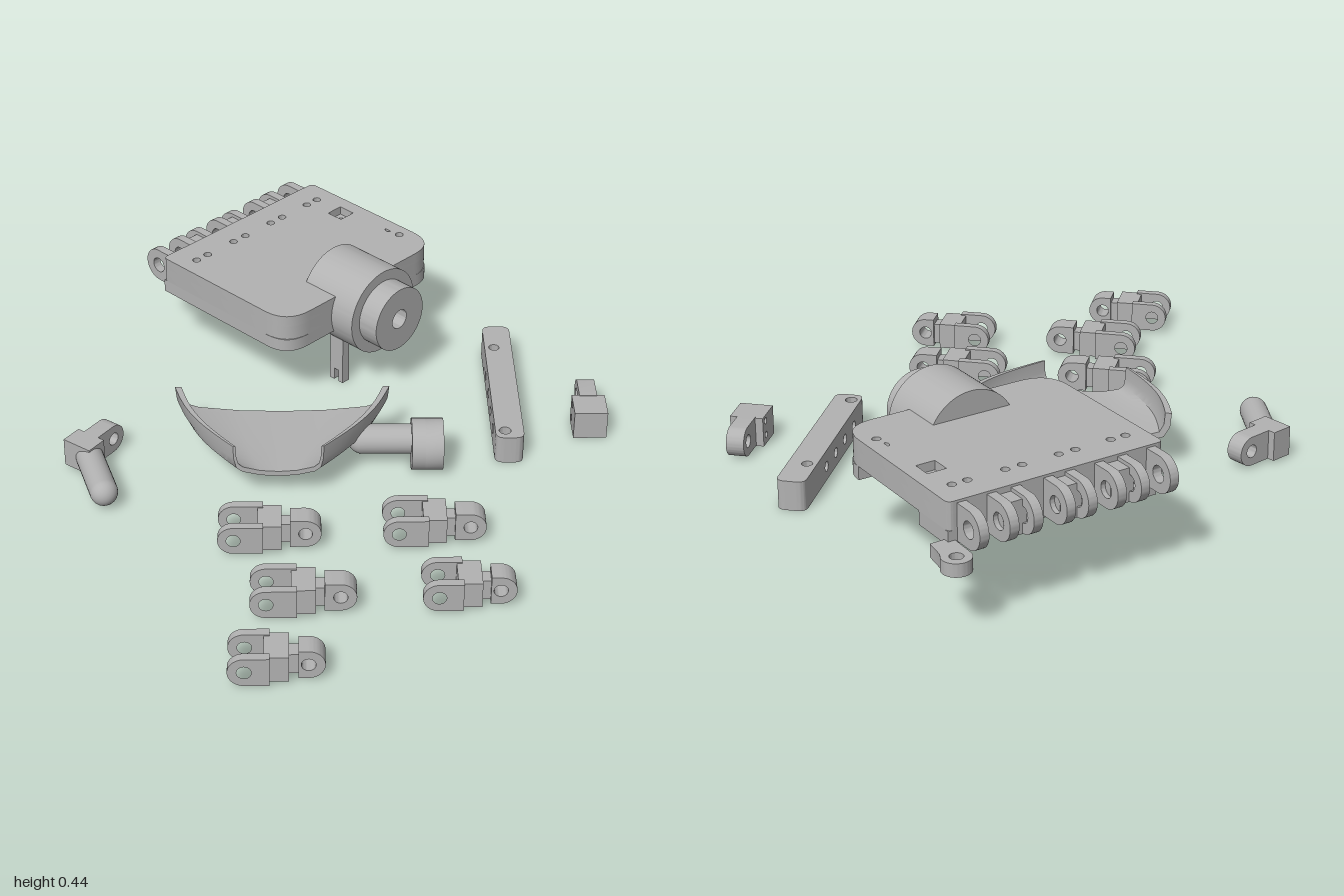
import * as THREE from 'three';
import { toCreasedNormals } from 'three/addons/utils/BufferGeometryUtils.js';

const grey = new THREE.MeshStandardMaterial({ color: 0xb2b2b2 });
grey.name = 'printed grey';
const Q = Math.PI / 4;

function add(parent, name, geo, x = 0, y = 0, z = 0) {
  const m = new THREE.Mesh(geo, grey);
  m.name = name;
  m.position.set(x, y, z);
  parent.add(m);
  return m;
}
function sub(parent, name, x, z, turn) {
  const g = new THREE.Group();
  g.name = name;
  g.position.set(x, 0, z);
  g.rotation.y = turn;
  parent.add(g);
  return g;
}
const box = (w, h, d) => new THREE.BoxGeometry(w, h, d);
const extrude = (shape, depth) => toCreasedNormals(
  new THREE.ExtrudeGeometry(shape, { depth, bevelEnabled: false, curveSegments: 14 }), 0.6);
// shape in side view, centred through its thickness
const side = (shape, depth) => extrude(shape, depth).translate(0, 0, -depth / 2);
// shape in plan (second coordinate is -z), from y0 to y1
const plan = (shape, y0, y1) => extrude(shape, y1 - y0).rotateX(-Math.PI / 2).translate(0, y0, 0);

function poly(pts) {
  return new THREE.Shape(pts.map(p => new THREE.Vector2(p[0], p[1])));
}
function hole(shape, x, y, r) {
  shape.holes.push(new THREE.Path().absarc(x, y, r, 0, Math.PI * 2, true));
  return shape;
}
// rectangle with one radius per corner: bottom left, bottom right, top right, top left
function rounded(x0, y0, x1, y1, [a, b, c, d]) {
  const s = new THREE.Shape();
  s.moveTo(x0 + a, y0).lineTo(x1 - b, y0).quadraticCurveTo(x1, y0, x1, y0 + b);
  s.lineTo(x1, y1 - c).quadraticCurveTo(x1, y1, x1 - c, y1);
  s.lineTo(x0 + d, y1).quadraticCurveTo(x0, y1, x0, y1 - d);
  s.lineTo(x0, y0 + a).quadraticCurveTo(x0, y0, x0 + a, y0);
  return s;
}
// hinge lug: flat at one end, round with a pin hole at the other
function lug(flat, pin, y, r, bore) {
  const s = new THREE.Shape();
  s.moveTo(flat, y - r).lineTo(pin, y - r);
  s.absarc(pin, y, r, -Math.PI / 2, Math.PI / 2, pin < flat);
  s.lineTo(flat, y + r);
  return hole(s, pin, y, bore);
}

function fingerSegment(root, x, z, half) {
  const g = sub(root, 'fingerSegment', x, z, -Q);
  const pin = half - 0.05;
  for (const v of [-0.056, 0.056])
    add(g, 'forkProng', side(lug(-0.02, -pin, 0.06, 0.05, 0.022), 0.028), 0, 0, v);
  add(g, 'segmentBody', box(0.075, 0.09, 0.115), -0.0, 0.06, 0);
  add(g, 'segmentNeck', box(0.05, 0.07, 0.05), 0.05, 0.055, 0);
  add(g, 'hingeTab', side(lug(0.065, pin, 0.06, 0.05, 0.022), 0.072));
}

function palm(root) {
  const g = sub(root, 'palm', 0, 0, 0);
  const outline = () => rounded(0.15, 0.26, 0.892, 0.87, [0.11, 0.11, 0.02, 0.02]);
  // top plate with cord holes and square windows
  const top = outline();
  for (const x of [0.219, 0.272, 0.398, 0.456, 0.583, 0.641, 0.768, 0.82]) hole(top, x, 0.775, 0.014);
  hole(top, 0.845, 0.44, 0.014);
  hole(top, 0.845, 0.39, 0.014);
  for (const y of [0.645, 0.46]) {
    const w = 0.032, x = 0.81;
    top.holes.push(new THREE.Path([[x - w, y - w], [x - w, y + w], [x + w, y + w], [x + w, y - w]]
      .map(p => new THREE.Vector2(...p))));
    add(g, 'windowSeat', plan(hole(rounded(x - 0.04, y - 0.04, x + 0.04, y + 0.04,
      [0.005, 0.005, 0.005, 0.005]), x, y, 0.018), 0.27, 0.335));
  }
  add(g, 'palmTop', plan(top, 0.325, 0.365));
  // walls, with a recess low on the left side
  const wall = outline();
  wall.holes.push(rounded(0.2, 0.31, 0.842, 0.81, [0.08, 0.08, 0.01, 0.01]));
  add(g, 'palmWall', plan(wall, 0.275, 0.325));
  const low = poly([[0.892, 0.36], [0.892, 0.36]]);
  low.curves.length = 0;
  low.moveTo(0.892, 0.36).quadraticCurveTo(0.892, 0.26, 0.79, 0.26);
  low.lineTo(0.25, 0.26).quadraticCurveTo(0.15, 0.26, 0.15, 0.36);
  low.lineTo(0.15, 0.87).lineTo(0.892, 0.87).lineTo(0.892, 0.71).lineTo(0.842, 0.71);
  low.lineTo(0.842, 0.81).lineTo(0.2, 0.81).lineTo(0.2, 0.31).lineTo(0.842, 0.31).lineTo(0.842, 0.36);
  add(g, 'lowerWall', plan(low, 0.23, 0.275));
  // ribs and posts underneath
  for (const x of [0.34, 0.52, 0.7]) add(g, 'rib', box(0.03, 0.08, 0.43), x, 0.29, -0.6);
  add(g, 'crossRib', box(0.66, 0.07, 0.04), 0.52, 0.295, -0.42);
  add(g, 'post', new THREE.CylinderGeometry(0.038, 0.038, 0.15, 24), 0.725, 0.255, -0.62);
  add(g, 'foot', box(0.085, 0.03, 0.06), 0.222, 0.218, -0.85);

  // knuckle hinges along the back edge
  const xs = [0.195, 0.298, 0.38, 0.482, 0.556, 0.667, 0.747, 0.846];
  for (const x of xs) {
    const k = sub(g, 'knuckle', x, -0.87, Math.PI / 2);
    add(k, 'knuckleLug', side(lug(-0.02, 0.06, 0.297, 0.06, 0.027), 0.031));
  }
  for (const i of [1, 3, 5])
    add(g, 'knuckleSpacer', box(xs[i + 1] - xs[i], 0.11, 0.08), (xs[i] + xs[i + 1]) / 2, 0.29, -0.89);

  // flat ring for the thumb joint
  const ring = new THREE.Shape();
  ring.moveTo(0.868, 0.85).lineTo(0.94, 0.85).lineTo(0.95, 0.92);
  ring.absarc(0.917, 0.955, 0.046, -0.6, Math.PI, false);
  ring.lineTo(0.868, 0.85);
  add(g, 'thumbRing', plan(hole(ring, 0.917, 0.955, 0.021), 0.2, 0.243));

  // wrist barrel
  const disc = (r, bore) => hole(new THREE.Shape().absarc(0, 0, r, 0, Math.PI * 2, false), 0, 0, bore);
  const barrel = (r, bore, depth) => toCreasedNormals(new THREE.ExtrudeGeometry(disc(r, bore),
    { depth, bevelEnabled: false, curveSegments: 48 }), 0.6);
  add(g, 'wristBarrel', barrel(0.155, 0.035, 0.235), 0.52, 0.29, -0.4);
  add(g, 'wristCollar', barrel(0.117, 0.035, 0.08), 0.52, 0.29, -0.167);
  // clip hanging under the wrist
  add(g, 'clipStem', box(0.032, 0.14, 0.06), 0.43, 0.115, -0.282);
  for (const z of [-0.302, -0.262]) add(g, 'clipProng', box(0.032, 0.05, 0.02), 0.43, 0.025, z);
}

function curvedGuard(root) {
  const g = sub(root, 'curvedGuard', 0, 0, -Q);
  // trough section, widened along its length
  const lower = [[-1, 0.2], [-0.985, 0.15], [-0.93, 0.115], [-0.8, 0.1], [-0.4, 0.086], [0, 0.082]];
  const upper = [[0, 0.1], [-0.4, 0.104], [-0.78, 0.118], [-0.89, 0.132], [-0.93, 0.16], [-0.94, 0.2]];
  const flip = pts => pts.slice().reverse().map(([x, y]) => [-x, y]);
  const section = poly([...lower, ...flip(lower).slice(1), ...flip(upper), ...upper.slice(1)]);
  const geo = new THREE.ExtrudeGeometry(section, { depth: 1, steps: 14, bevelEnabled: false });
  const p = geo.attributes.position;
  for (let i = 0; i < p.count; i++) {
    const t = p.getZ(i);
    const half = 0.358 - 0.211 * t + 0.033 * Math.sin(Math.PI * t);
    p.setXYZ(i, -0.095 - 0.012 * t + p.getX(i) * half, p.getY(i), -0.155 + 0.345 * t);
  }
  add(g, 'guardShell', toCreasedNormals(geo, 0.7));

  // peg with a drilled cap
  const stem = new THREE.CylinderGeometry(0.05, 0.05, 0.19, 28).rotateZ(Math.PI / 2);
  add(g, 'pegStem', stem, 0.255, 0.1, 0.008);
  add(g, 'pegDome', new THREE.SphereGeometry(0.05, 24, 16), 0.17, 0.1, 0.008);
  const face = new THREE.Shape().absarc(0, 0, 0.086, 0, Math.PI * 2, false);
  for (let i = 0; i < 5; i++) {
    const a = Math.PI / 2 + i * Math.PI * 0.4;
    hole(face, 0.05 * Math.cos(a), 0.05 * Math.sin(a), 0.017);
  }
  add(g, 'pegCap', extrude(face, 0.06).rotateY(Math.PI / 2), 0.375, 0.087, 0.02);
  add(g, 'pegCapBack', new THREE.CylinderGeometry(0.086, 0.086, 0.045, 40).rotateZ(Math.PI / 2), 0.353, 0.087, 0.02);
}

function drilledBar(root) {
  const g = sub(root, 'drilledBar', 0.704, 0.23, Q);
  const w = 0.0475, h = 0.1, r = 0.03;
  const middle = poly([[-0.24, 0], [0.165, 0], [0.165, h], [-0.24, h]]);
  for (const u of [-0.212, -0.106, 0, 0.106]) hole(middle, u, 0.046, 0.017);
  add(g, 'barMiddle', side(middle, 2 * w));
  add(g, 'barEnd', plan(hole(rounded(-0.3425, -w, -0.24, w, [r, 0, 0, r]), -0.3, 0.015, 0.02), 0, h));
  add(g, 'barEnd', plan(hole(rounded(0.165, -w, 0.3425, w, [0, r, r, 0]), 0.207, 0.015, 0.018), 0, h));
}

function thumb(root) {
  // knuckle block with lug
  const k = sub(root, 'thumbKnuckle', 0.8, 0.535, Q);
  const block = poly([[-0.055, 0], [0.055, 0], [0.055, 0.1], [-0.055, 0.1]]);
  for (const y of [0.03, 0.08]) hole(block, 0.025, y, 0.011);
  add(k, 'knuckleBlock', side(block, 0.112));
  add(k, 'knuckleTab', side(lug(0.05, 0.132, 0.052, 0.05, 0.022), 0.06));

  // thumb tip: rounded finger, block and lug
  const t = sub(root, 'thumbTip', -0.546, -0.52, 0.15);
  add(t, 'tipBlock', box(0.075, 0.1, 0.11), 0, 0.06, 0.005);
  add(t, 'tipTab', side(lug(0.02, 0.115, 0.06, 0.05, 0.022), 0.06), 0, 0, 0.005);
  const tip = new THREE.CapsuleGeometry(0.046, 0.2, 10, 24).rotateX(Math.PI / 2);
  const m = add(root, 'thumbFinger', tip, -0.597, 0.058, -0.395);
  m.rotation.y = -0.49;
}

export function createModel() {
  const root = new THREE.Group();
  root.name = 'handKit';
  palm(root);
  curvedGuard(root);
  drilledBar(root);
  thumb(root);
  fingerSegment(root, -0.404, 0.212, 0.164);
  fingerSegment(root, -0.554, 0.51, 0.164);
  fingerSegment(root, -0.013, 0.561, 0.164);
  fingerSegment(root, -0.831, 0.672, 0.145);
  fingerSegment(root, -0.174, 0.85, 0.145);
  return root;
}
